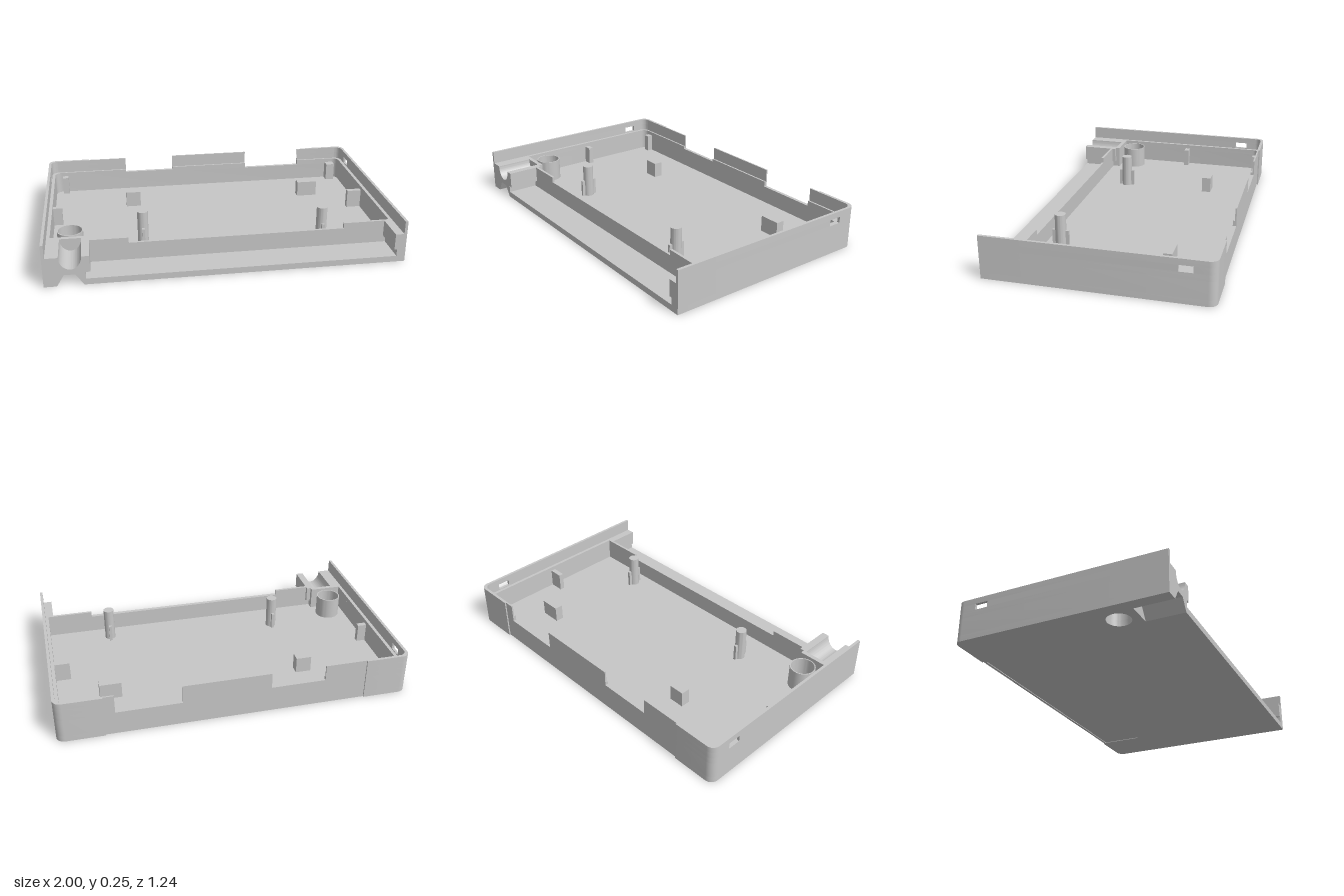
import * as THREE from 'three';
import { toCreasedNormals } from 'three/addons/utils/BufferGeometryUtils.js';

const grey = new THREE.MeshStandardMaterial({ color: 0xc7c7c7 });
grey.name = 'grey plastic';

const BACK = -0.623, RECESS = -0.615, FRONT = 0.62, R = 0.045;
const LEDGE = 0.169, RIM = 0.245, FLOOR = 0.035, LOW = 0.137;

export function createModel() {
  const model = new THREE.Group();
  model.name = 'enclosureBase';

  const add = (name, geo) => {
    const mesh = new THREE.Mesh(toCreasedNormals(geo, 0.6), grey);
    mesh.name = name;
    model.add(mesh);
    return mesh;
  };
  // box from its limits
  const box = (name, x0, x1, y0, y1, z0, z1) => {
    const geo = new THREE.BoxGeometry(x1 - x0, y1 - y0, z1 - z0);
    geo.translate((x0 + x1) / 2, (y0 + y1) / 2, (z0 + z1) / 2);
    return add(name, geo);
  };
  // plan shape (drawn in x, -z) raised from y0 to y1
  const slab = (name, shape, y0, y1) => {
    const geo = new THREE.ExtrudeGeometry(shape, { depth: y1 - y0, bevelEnabled: false, curveSegments: 24 });
    geo.rotateX(-Math.PI / 2).translate(0, y0, 0);
    return add(name, geo);
  };
  // front profile (x, y) run from z0 to z1
  const run = (name, shape, z0, z1) => {
    const geo = new THREE.ExtrudeGeometry(shape, { depth: z1 - z0, bevelEnabled: false, curveSegments: 24 });
    geo.translate(0, 0, z0);
    return add(name, geo);
  };
  // plan outline, always counter-clockwise so that holes face the right way
  const points = (Type, list) => {
    const pts = list.map(([x, z]) => new THREE.Vector2(x, -z));
    return new Type(THREE.ShapeUtils.isClockWise(pts) ? pts.reverse() : pts);
  };
  const corner = (cx, cz, r, a0, a1) => Array.from({ length: 9 }, (_, i) => {
    const a = a0 + (a1 - a0) * i / 8;
    return [cx + r * Math.cos(a), cz + r * Math.sin(a)];
  });
  const H = Math.PI / 2;
  const outerBack = [
    ...corner(-1 + R, BACK + R, R, -2 * H, -H), [-0.74, BACK], [-0.74, RECESS],
    [0.74, RECESS], [0.74, BACK], ...corner(1 - R, BACK + R, R, -H, 0),
  ];
  const round = (x, z, r) => new THREE.Path().absarc(x, -z, r, 0, Math.PI * 2, false);
  const HX = -0.856, HZ = 0.285, HR = 0.067;

  // floor, with a shallow panel recess underneath and a round hole
  const floorShape = () => {
    const s = points(THREE.Shape, [...outerBack, [1, FRONT], [-0.775, FRONT], [-0.775, 0.4], [-1, 0.4]]);
    s.holes.push(round(HX, HZ, HR));
    return s;
  };
  const skin = floorShape();
  skin.holes.push(points(THREE.Path, [[-0.73, -0.6], [-0.73, -0.35], [0.73, -0.35], [0.73, -0.6]]));
  slab('floorSkin', skin, 0, 0.004);
  slab('floor', floorShape(), 0.004, FLOOR);

  // lower wall all round the tray
  const ring = points(THREE.Shape, [...outerBack, [1, 0.435], [-0.775, 0.435], [-0.775, 0.4], [-1, 0.4]]);
  ring.holes.push(points(THREE.Path, [
    ...corner(-0.925, -0.555, 0.04, -2 * H, -H), ...corner(0.925, -0.555, 0.04, -H, 0),
    [0.965, 0.42], [-0.775, 0.42], [-0.775, 0.375], [-0.965, 0.375],
  ]));
  slab('lowerWall', ring, FLOOR, LOW);

  // side wall with its back corner, of thickness t, from the back notch to zEnd
  const bracket = (name, s, xNotch, t, zBack, y0, y1, zEnd) => {
    const r = R - 0.005;
    slab(name, points(THREE.Shape, [
      [xNotch, RECESS], [0.74, RECESS], [0.74, BACK],
      ...corner(1 - R, BACK + R, R, -H, 0), [1, zEnd], [1 - t, zEnd],
      ...corner(1 - t - r, zBack + r, r, 0, -H), [xNotch, zBack],
    ].map(([x, z]) => [x * s, z])), y0, y1);
  };
  for (const [side, s, xNotch, zEnd] of [['right', -1, 0.5, 0.4], ['left', 1, 0.68, 0.435]]) {
    bracket(side + 'LedgeWall', s, xNotch, 0.035, -0.595, LOW, LEDGE, zEnd);
    // thin rim with a slot through it
    const rim = (y0, y1, end) => bracket(side + 'Rim', s, xNotch, 0.016, -0.606, y0, y1, end);
    rim(LEDGE, 0.174, zEnd);
    rim(0.174, 0.21, -0.504);
    rim(0.21, RIM, zEnd);
    const xs = [s, s * 0.984].sort((a, b) => a - b);
    box(side + 'RimBesideSlot', xs[0], xs[1], 0.174, 0.21, -0.428, zEnd);
  }

  // back wall between the notches
  box('backLedge', -0.187, 0.313, LOW, LEDGE, RECESS, -0.595);
  box('backRim', -0.187, 0.313, LEDGE, RIM, RECESS, -0.606);
  box('backSill', -0.5, -0.187, LOW, 0.152, RECESS, -0.595);

  // raised ends of the front wall
  box('frontWallRight', -0.775, -0.535, LOW, LEDGE, 0.42, 0.435);
  box('frontWallLeft', 0.695, 0.965, LOW, LEDGE, 0.42, 0.435);
  box('channelEndWall', -0.965, -0.775, LOW, LEDGE, 0.375, 0.4);

  // front corner block with a round channel on top and a notch below
  const block = new THREE.Shape();
  block.moveTo(-1, 0);
  for (const [x, y] of [[-0.93, 0], [-0.89, 0.065], [-0.83, 0.065], [-0.785, 0], [-0.775, 0],
    [-0.775, 0.075], [-0.75, 0.075], [-0.75, LEDGE], [-0.793, LEDGE]]) block.lineTo(x, y);
  block.absellipse(-0.853, LEDGE, 0.06, 0.073, 0, Math.PI, true);
  for (const [x, y] of [[-0.984, LEDGE], [-0.984, RIM], [-1, RIM]]) block.lineTo(x, y);
  run('channelBlock', block, 0.4, FRONT);

  // undercut rail at the other end of the front bay
  const rail = new THREE.Shape([[1, FLOOR], [1, RIM], [0.984, RIM], [0.984, LEDGE], [0.935, LEDGE],
    [0.935, 0.075], [0.95, 0.075], [0.95, FLOOR]].map(([x, y]) => new THREE.Vector2(x, y)));
  run('frontRail', rail, 0.435, FRONT);

  // tube round the floor hole
  const tube = new THREE.Shape().absarc(HX, -HZ, 0.073, 0, Math.PI * 2, false);
  tube.holes.push(round(HX, HZ, HR));
  slab('holeTube', tube, FLOOR, 0.165);

  // support pins with ribs
  for (const [x, z] of [[-0.443, 0.226], [0.595, 0.319]]) {
    const pin = new THREE.CylinderGeometry(0.031, 0.031, 0.23 - FLOOR, 32);
    add('supportPin', pin.translate(x, (0.23 + FLOOR) / 2, z));
    box('pinRib', x - 0.008, x + 0.008, FLOOR, 0.135, z - 0.048, z + 0.048);
  }

  // blocks and tabs on the floor
  for (const [name, x0, x1, top, z0, z1] of [
    ['floorBlock', -0.515, -0.425, 0.13, -0.343, -0.288],
    ['floorBlock', 0.61, 0.735, 0.13, -0.343, -0.293],
    ['sideTab', -0.966, -0.912, 0.145, -0.1, -0.07],
    ['sideTab', 0.878, 0.966, 0.145, -0.1, -0.07],
    ['cornerPost', -0.92, -0.882, 0.145, -0.596, -0.558],
    ['cornerPost', 0.878, 0.932, 0.145, -0.596, -0.545],
  ]) box(name, x0, x1, FLOOR, top, z0, z1);

  return model;
}
